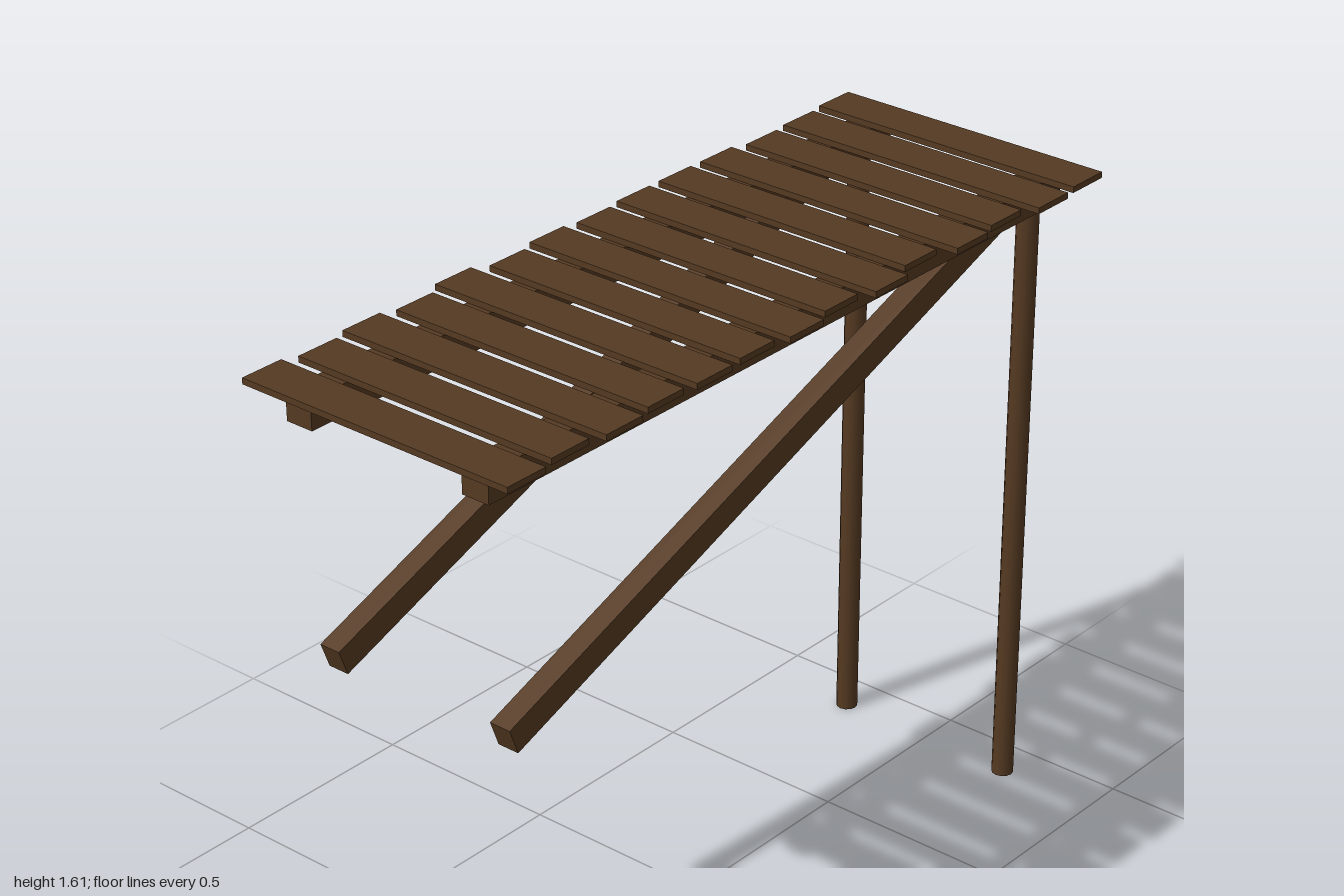
import * as THREE from 'three';

export function createModel() {
  const model = new THREE.Group();
  model.name = 'woodenPier';
  const wood = new THREE.MeshStandardMaterial({ color: 0x553a22 });
  wood.name = 'dark brown wood';

  const add = (geometry, name, x, y, z) => {
    const mesh = new THREE.Mesh(geometry, wood);
    mesh.name = name;
    mesh.position.set(x, y, z);
    model.add(mesh);
    return mesh;
  };

  // Deck planks, back to front: [centre x, length], slightly uneven
  const long = 0.737, short = 0.705;
  const planks = [
    [-0.003, long], [0.006, long], [-0.003, short], [-0.003, long], [-0.02, short],
    [-0.003, long], [-0.01, short], [-0.003, long], [-0.003, short], [-0.012, long],
    [-0.003, short], [-0.003, long], [-0.003, short], [-0.003, long],
  ];
  const depth = 0.112;
  const pitch = (2 - depth) / (planks.length - 1);
  planks.forEach(([x, length], i) => {
    add(new THREE.BoxGeometry(length, 0.015, depth), 'deckPlank', x, 1.6045, -1 + depth / 2 + i * pitch);
  });

  // Diagonal brace ends as (z, y), the upper one buried in the beam
  const low = new THREE.Vector2(0.898, 0.943);
  const high = new THREE.Vector2(-0.765, 1.56);
  const run = high.clone().sub(low);

  for (const [side, x] of [['right', -0.251], ['left', 0.241]]) {
    // Long beam under the deck
    add(new THREE.BoxGeometry(0.072, 0.072, 1.925), side + 'Beam', x, 1.561, -0.002);
    // Round post at the back
    add(new THREE.CylinderGeometry(0.027, 0.027, 1.53, 12), side + 'Post', x, 0.765, -0.892);
    // Square brace sloping down to the front
    const brace = add(new THREE.BoxGeometry(0.055, 0.068, run.length()), side + 'Brace',
      x, (low.y + high.y) / 2, (low.x + high.x) / 2);
    brace.rotation.x = Math.atan2(run.y, -run.x);
  }
  return model;
}
